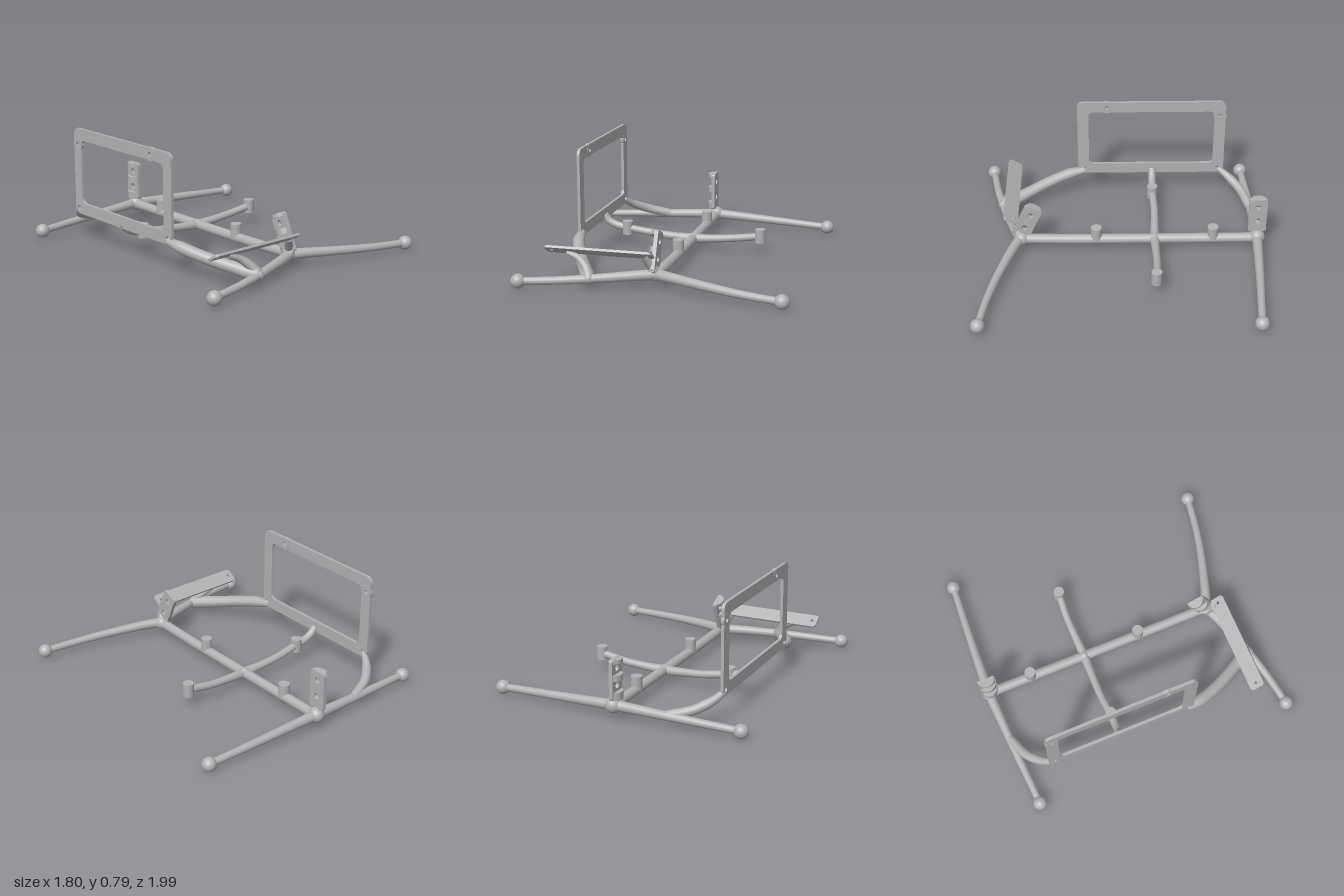
import * as THREE from 'three';

const metal = new THREE.MeshStandardMaterial({ color: 0xb2b2b2 });
metal.name = 'plain grey';

const v = (p) => new THREE.Vector3(...p);

function add(parent, name, geometry, pos = [0, 0, 0]) {
  const mesh = new THREE.Mesh(geometry, metal);
  mesh.name = name;
  mesh.position.set(...pos);
  parent.add(mesh);
  return mesh;
}

// Smooth tube through points; radius(u) sets the thickness along it
function rod(parent, name, points, radius) {
  const curve = new THREE.CatmullRomCurve3(points.map(v));
  const rings = 36, sides = 18;
  const geo = new THREE.TubeGeometry(curve, rings, 1, sides, false);
  const pos = geo.attributes.position, q = new THREE.Vector3();
  for (let i = 0; i <= rings; i++) {
    const c = curve.getPointAt(i / rings), r = radius(i / rings);
    for (let j = 0; j <= sides; j++) {
      const k = i * (sides + 1) + j;
      q.fromBufferAttribute(pos, k).sub(c).multiplyScalar(r).add(c);
      pos.setXYZ(k, q.x, q.y, q.z);
    }
  }
  return add(parent, name, geo);
}

const ball = (parent, name, pos, r) => add(parent, name, new THREE.SphereGeometry(r, 28, 20), pos);

// Rounded rectangle drawn into a Shape or Path
function roundRect(s, x0, y0, x1, y1, r) {
  s.moveTo(x0 + r, y0);
  s.lineTo(x1 - r, y0).absarc(x1 - r, y0 + r, r, -Math.PI / 2, 0);
  s.lineTo(x1, y1 - r).absarc(x1 - r, y1 - r, r, 0, Math.PI / 2);
  s.lineTo(x0 + r, y1).absarc(x0 + r, y1 - r, r, Math.PI / 2, Math.PI);
  s.lineTo(x0, y0 + r).absarc(x0 + r, y0 + r, r, Math.PI, Math.PI * 1.5);
  return s;
}

const hole = (x, y, r) => new THREE.Path().absarc(x, y, r, 0, Math.PI * 2, true);
const extrude = (shape, depth) =>
  new THREE.ExtrudeGeometry(shape, { depth, bevelEnabled: false, curveSegments: 10 });

// Upright bracket: drilled plate with half-round ribs on its right side
function bracket(parent, name, pos, tilt) {
  const group = new THREE.Group();
  group.name = name;
  const shape = roundRect(new THREE.Shape(), -0.062, 0, 0.062, 0.27, 0.018);
  shape.holes.push(hole(0, 0.09, 0.021), hole(0, 0.205, 0.021));
  add(group, 'bracketPlate', extrude(shape, 0.026).rotateY(-Math.PI / 2));
  for (const [y0, y1] of [[0, 0.052], [0.128, 0.167], [0.242, 0.268]]) {
    const rib = new THREE.CylinderGeometry(0.058, 0.058, y1 - y0, 16, 1, false, Math.PI, Math.PI);
    add(group, 'bracketRib', rib, [-0.002, (y0 + y1) / 2, 0]);
  }
  group.position.set(...pos);
  group.rotation.x = tilt;
  parent.add(group);
}

export function createModel() {
  const model = new THREE.Group();
  model.name = 'tubularFrame';

  // Central spine with its hubs and posts
  rod(model, 'spine', [[0, 0.08, -0.94], [0, 0.078, -0.3], [0, 0.078, 0.3], [0, 0.085, 0.7]],
    () => 0.034);
  ball(model, 'rearHub', [0, 0.085, -0.94], 0.054);
  ball(model, 'frontHub', [0, 0.085, 0.7], 0.049);
  ball(model, 'crossHub', [0, 0.078, -0.225], 0.04);
  for (const z of [0.18, -0.63])
    add(model, 'spinePost', new THREE.CylinderGeometry(0.038, 0.038, 0.1, 24), [0, 0.125, z]);

  // Mirrored legs, feet and cross arms
  for (const s of [-1, 1]) {
    const taper = (u) => 0.025 + 0.011 * (1 - u) ** 1.5;
    rod(model, 'frontLeg', [[0, 0.085, 0.71], [s * 0.12, 0.082, 0.758], [s * 0.4, 0.067, 0.85],
      [s * 0.62, 0.055, 0.905], [s * 0.85, 0.046, 0.945]], taper);
    rod(model, 'rearLeg', [[0, 0.085, -0.94], [s * 0.4, 0.067, -0.922], [s * 0.85, 0.046, -0.895]], taper);
    ball(model, 'frontFoot', [s * 0.85, 0.046, 0.945], 0.048);
    ball(model, 'rearFoot', [s * 0.85, 0.046, -0.895], 0.048);
    rod(model, 'crossArm', [[0, 0.078, -0.225], [s * 0.12, 0.083, -0.229], [s * 0.3, 0.098, -0.233],
      [s * 0.48, 0.125, -0.223]], (u) => 0.026 + 0.009 * (1 - u) ** 4);
    add(model, 'armPost', new THREE.CylinderGeometry(0.037, 0.037, 0.095, 24), [s * 0.48, 0.128, -0.223]);
  }

  // Upright window frame on the right side, drilled at the corners
  const frame = roundRect(new THREE.Shape(), -0.745, 0.18, 0.312, 0.783, 0.045);
  frame.holes.push(roundRect(new THREE.Path(), -0.665, 0.26, 0.232, 0.703, 0.035));
  const mounts = [[0.272, 0.22], [-0.705, 0.22], [-0.705, 0.67], [0.1, 0.742]];
  mounts.forEach(([z, y]) => frame.holes.push(hole(z, y, 0.016)));
  add(model, 'sideFrame', extrude(frame, 0.02).rotateY(-Math.PI / 2), [-0.645, 0, 0]);
  for (const [z, y] of mounts.slice(2)) {
    const ring = new THREE.Shape().absarc(z, y, 0.046, 0, Math.PI * 2);
    ring.holes.push(hole(z, y, 0.016));
    add(model, 'frameBoss', extrude(ring, 0.023).rotateY(-Math.PI / 2), [-0.6435, 0, 0]);
  }

  // Curved struts carrying the side frame
  const flare = (u) => 0.026 + 0.01 * u ** 5;
  rod(model, 'frontStrut', [[-0.655, 0.2, 0.265], [-0.635, 0.178, 0.38], [-0.575, 0.14, 0.54],
    [-0.49, 0.1, 0.7], [-0.41, 0.068, 0.85]], (u) => 0.014 + flare(u) - 0.014 * (1 - Math.min(1, u * 6)));
  model.children.at(-1).geometry.computeVertexNormals();
  rod(model, 'rearStrut', [[-0.655, 0.205, -0.71], [-0.615, 0.165, -0.775], [-0.52, 0.115, -0.86],
    [-0.36, 0.07, -0.922]], (u) => 0.02 + 0.012 * Math.min(1, u * 3));
  rod(model, 'middleStrut', [[-0.48, 0.125, -0.223], [-0.56, 0.14, -0.224], [-0.62, 0.17, -0.225],
    [-0.653, 0.21, -0.225]], () => 0.027);
  ball(model, 'frontStrutJoint', [-0.41, 0.068, 0.85], 0.037);

  // Tilted front plate and its supports
  const plate = roundRect(new THREE.Shape(), -0.357, -0.053, 0.357, 0.053, 0.025);
  plate.holes.push(hole(-0.318, 0, 0.011), hole(0.318, 0, 0.011));
  add(model, 'frontPlate', extrude(plate, 0.016).rotateX(-Math.PI / 2 - 0.55), [-0.365, 0.217, 0.777]);
  rod(model, 'plateStrut', [[-0.41, 0.075, 0.845], [-0.44, 0.125, 0.81], [-0.5, 0.175, 0.775],
    [-0.58, 0.205, 0.765]], (u) => 0.036 - 0.02 * u);
  rod(model, 'plateStrut', [[0, 0.09, 0.71], [-0.035, 0.15, 0.73], [-0.07, 0.213, 0.765]],
    (u) => 0.035 - 0.012 * u);

  // Drilled brackets on both hubs
  bracket(model, 'rearBracket', [0, 0.13, -0.935], 0);
  bracket(model, 'frontBracket', [0, 0.095, 0.715], -0.42);

  return model;
}
